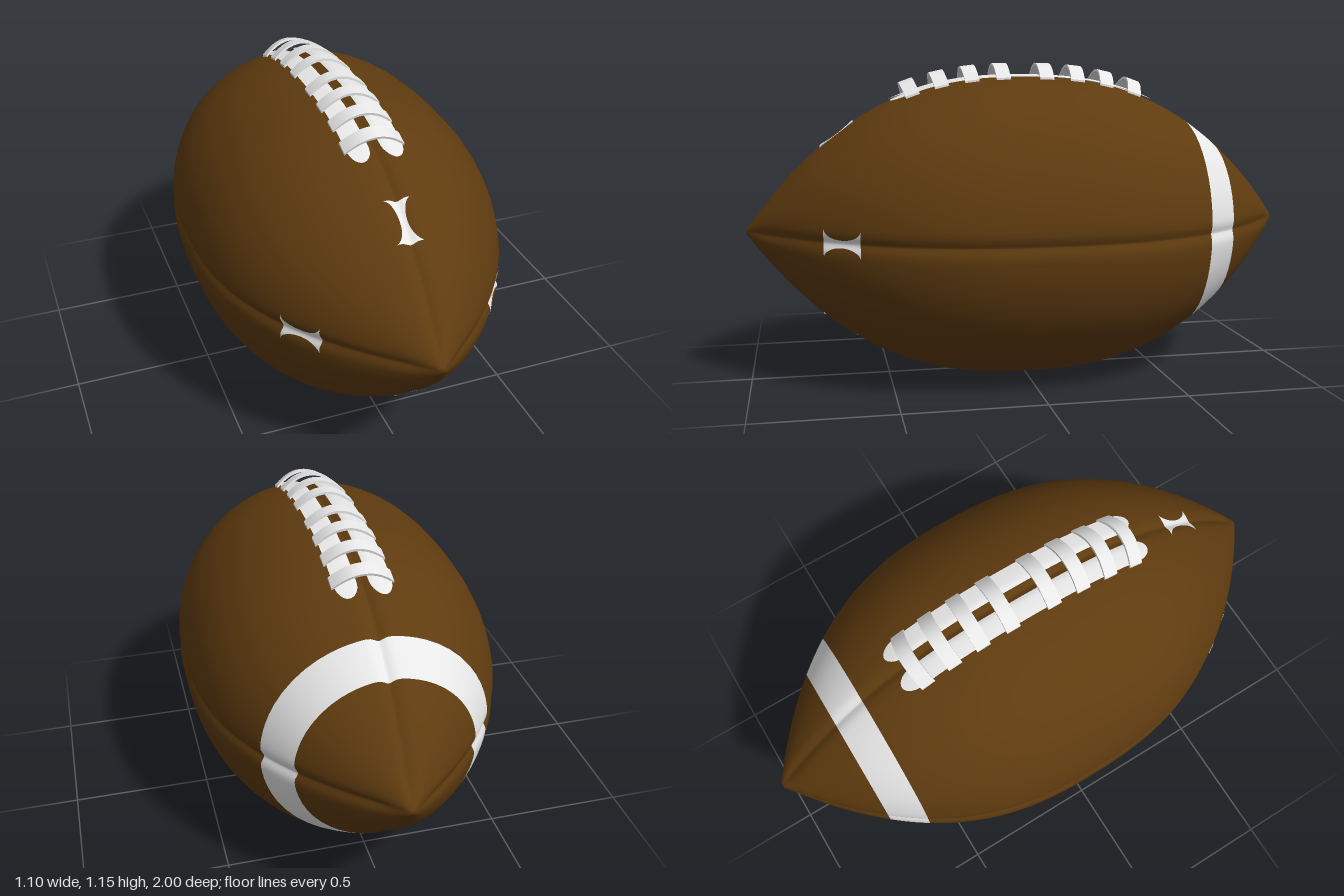
import * as THREE from 'three';

const R = 0.55;
const leather = new THREE.MeshStandardMaterial({ color: 0x5f3b0f, name: 'brown leather' });
const white = new THREE.MeshStandardMaterial({ color: 0xf2f2f2, name: 'white', side: THREE.DoubleSide });

// Radius of the ball along its length
const radius = (z) => R * (1 - Math.pow(0.99 * Math.abs(z), 2.5));

// Point on the ball: angle from the top towards +x, with grooves along four seams
function onBall(theta, z, lift = 0) {
  const r = radius(z), q = Math.PI / 2;
  const d = r * (theta - Math.round(theta / q) * q);
  const groove = Math.min(0.014, r * 0.15) * Math.exp(-((d / 0.02) ** 2));
  const k = r - groove + lift;
  return [k * Math.sin(theta), R + k * Math.cos(theta), z];
}

// Surface from rows of points; wrap joins the last column to the first
function skin(rows, wrap = false) {
  const n = rows[0].length, cols = wrap ? n : n - 1, index = [];
  for (let j = 0; j < rows.length - 1; j++) {
    for (let i = 0; i < cols; i++) {
      const a = j * n + i, b = j * n + (i + 1) % n, c = a + n, d = b + n;
      index.push(a, c, b, b, c, d);
    }
  }
  const g = new THREE.BufferGeometry();
  g.setAttribute('position', new THREE.Float32BufferAttribute(rows.flat(2), 3));
  g.setIndex(index);
  g.computeVertexNormals();
  return g;
}

// Thin plate lying on the ball, with half width depending on v in -1..1
function plate(name, angle, offset, z0, z1, halfWidth, lift, nu, nv) {
  const rows = [];
  for (let j = 0; j <= nv; j++) {
    const v = -Math.cos(Math.PI * j / nv); // denser near the ends
    const z = (z0 + z1) / 2 + v * (z1 - z0) / 2, row = [];
    for (let i = 0; i <= nu; i++) {
      const x = offset + (2 * i / nu - 1) * halfWidth(v);
      row.push(onBall(angle + x / radius(z), z, lift));
    }
    rows.push(row);
  }
  const m = new THREE.Mesh(skin(rows), white);
  m.name = name;
  return m;
}

function makeBall() {
  // Angles crowd towards the seams
  const angles = [];
  for (let q = 0; q < 4; q++) {
    for (let k = -12; k < 12; k++) {
      const s = k / 12;
      angles.push(q * Math.PI / 2 + Math.sign(s) * Math.abs(s) ** 2.2 * Math.PI / 4);
    }
  }
  // Back tip, painted stripe, rest of the ball
  const sections = [[-1, -0.73, 16, 0], [-0.73, -0.615, 8, 1], [-0.615, 1, 72, 0]];
  const rows = [angles.map(() => [0, R, -1])], groups = [];
  const ring = (z) => rows.push(angles.map((a) => onBall(a, z)));
  ring(-1);
  let first = 0;
  for (const [z0, z1, n, mat] of sections) {
    for (let j = 1; j <= n; j++) ring(z0 + (z1 - z0) * j / n);
    if (z1 === 1) rows.push(angles.map(() => [0, R, 1]));
    const last = rows.length - 1;
    groups.push([first * angles.length * 6, (last - first) * angles.length * 6, mat]);
    first = last;
  }
  const g = skin(rows, true);
  groups.forEach((p) => g.addGroup(...p));
  const ball = new THREE.Mesh(g, [leather, white]);
  ball.name = 'ballWithStripe';
  return ball;
}

// Arched crosswise lace
function makeCrossLace(z) {
  const g = new THREE.BoxGeometry(0.21, 0.009, 0.052, 14, 1, 1);
  const p = g.attributes.position;
  for (let i = 0; i < p.count; i++) {
    const t = p.getX(i) / 0.105;
    p.setY(i, p.getY(i) + 0.044 - 0.052 * t * t);
  }
  g.computeVertexNormals();
  const lace = new THREE.Mesh(g, white);
  lace.name = 'crossLace';
  lace.position.set(0, R + radius(z), z);
  lace.rotation.x = Math.atan((radius(z - 0.01) - radius(z + 0.01)) / 0.02);
  return lace;
}

export function createModel() {
  const model = new THREE.Group();
  model.name = 'football';
  model.add(makeBall());

  // Waisted marks on the front of each seam
  const waisted = (v) => 0.05 - 0.037 * Math.sqrt(Math.max(0, 1 - v * v));
  for (let q = 0; q < 4; q++) {
    model.add(plate('seamMark', q * Math.PI / 2, 0, 0.615, 0.735, waisted, 0.004, 12, 16));
  }

  // Two lengthwise strips with rounded ends, and the laces across them
  const laces = new THREE.Group();
  laces.name = 'laces';
  const rounded = (v) => 0.038 * Math.sqrt(Math.min(1, Math.max(0, 1 - ((Math.abs(v) - 0.87) / 0.13) ** 2 * (Math.abs(v) > 0.87))));
  for (const side of [-1, 1]) {
    laces.add(plate('lengthwiseLace', 0, side * 0.058, -0.485, 0.485, rounded, 0.008, 8, 48));
    for (const z of [0.08, 0.195, 0.305, 0.41]) laces.add(makeCrossLace(side * z));
  }
  model.add(laces);
  return model;
}
